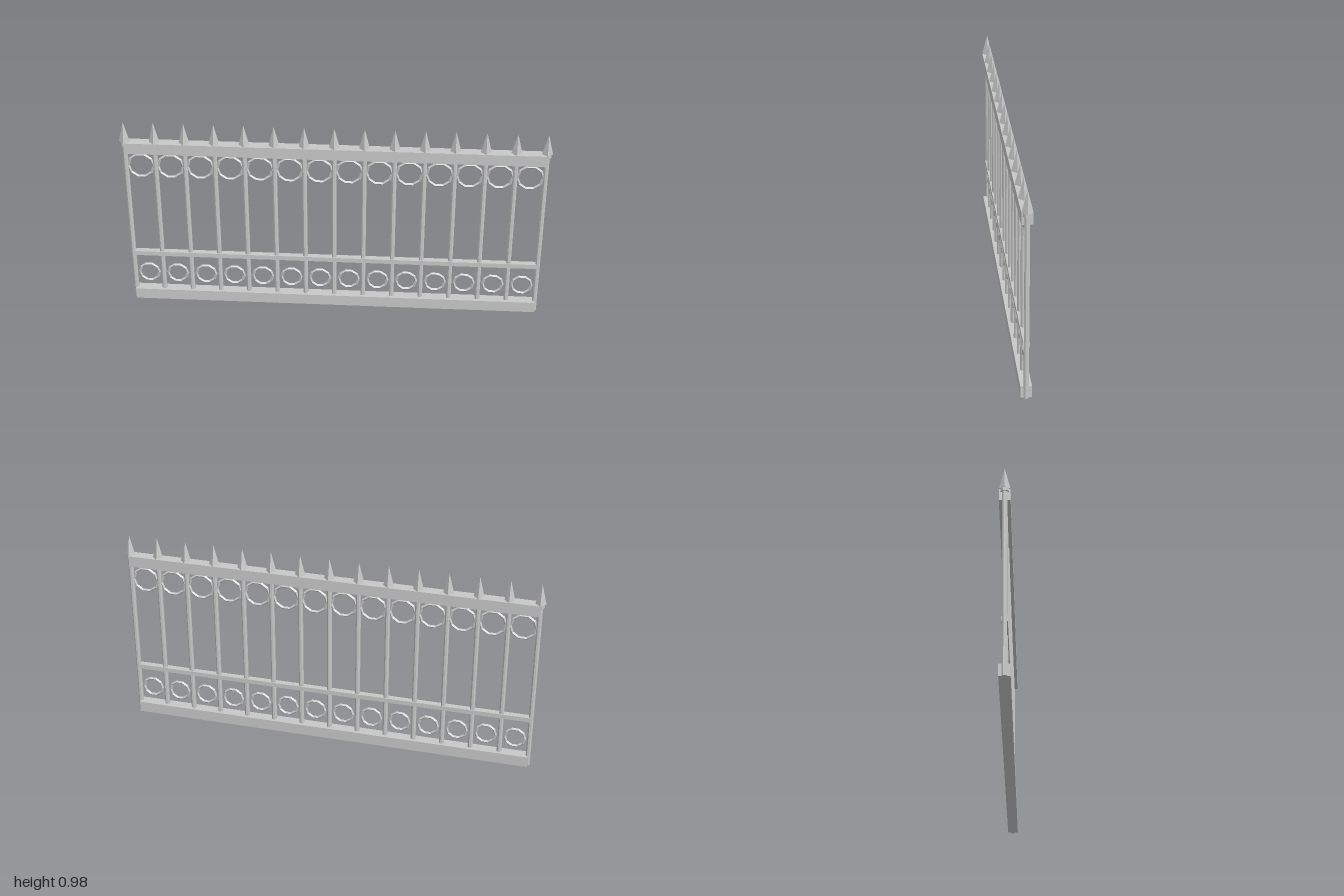
import * as THREE from 'three';

export function createModel() {
  const group = new THREE.Group();
  group.name = 'fence';
  const iron = new THREE.MeshStandardMaterial({ color: 0xc8c8c8, flatShading: true });
  iron.name = 'light grey iron';

  const add = (name, geometry, x, y) => {
    const mesh = new THREE.Mesh(geometry, iron);
    mesh.name = name;
    mesh.position.set(x, y, 0);
    group.add(mesh);
  };

  const POSTS = 15;
  const END = 0.975;
  const STEP = (2 * END) / (POSTS - 1);

  // Horizontal rails: name, bottom, top, depth
  for (const [name, y0, y1, depth] of [
    ['bottomRail', 0, 0.055, 0.05],
    ['middleRail', 0.247, 0.27, 0.028],
    ['topRail', 0.82, 0.875, 0.05],
  ]) {
    add(name, new THREE.BoxGeometry(2 * END, y1 - y0, depth), 0, (y0 + y1) / 2);
  }

  // Octagonal posts with a collar and a four-sided spike
  const post = new THREE.CylinderGeometry(0.012, 0.012, 0.87, 8).rotateY(Math.PI / 8);
  const collar = new THREE.CylinderGeometry(0.019, 0.019, 0.016, 8).rotateY(Math.PI / 8);
  const spike = new THREE.ConeGeometry(0.025, 0.101, 4);
  for (let i = 0; i < POSTS; i++) {
    const x = -END + i * STEP;
    add('post', post, x, 0.435);
    add('collar', collar, x, 0.867);
    add('spike', spike, x, 0.9255);
  }

  // Decorative rings between the posts
  const upperRing = new THREE.TorusGeometry(0.06, 0.007, 4, 10);
  const lowerRing = new THREE.TorusGeometry(0.048, 0.007, 4, 10);
  for (let i = 0; i < POSTS - 1; i++) {
    const x = -END + (i + 0.5) * STEP;
    add('upperRing', upperRing, x, 0.747);
    add('lowerRing', lowerRing, x, 0.143);
  }

  return group;
}
